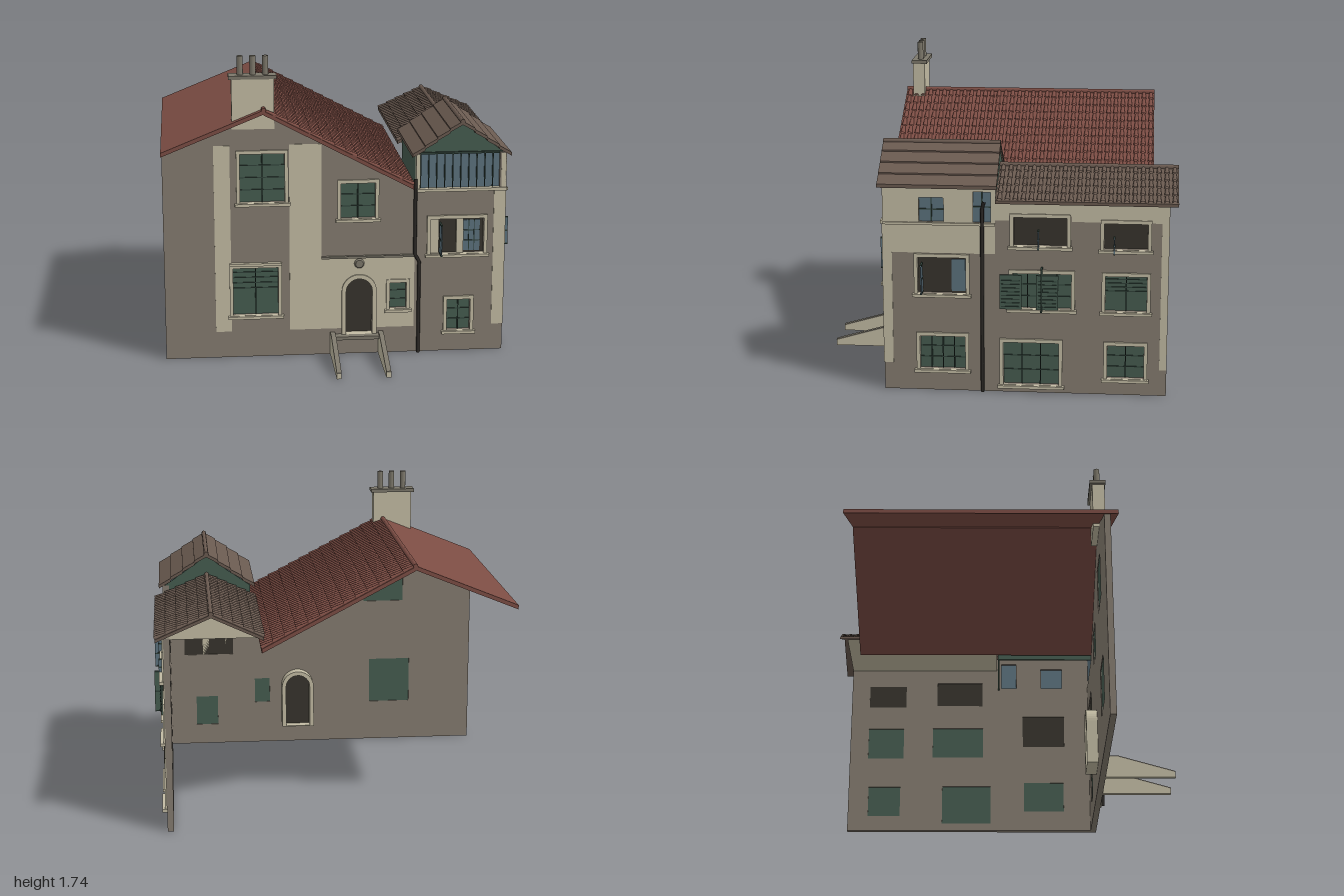
import * as THREE from 'three';
import { mergeGeometries } from 'three/addons/utils/BufferGeometryUtils.js';

const mat = (name, color, side = THREE.FrontSide) => {
  const m = new THREE.MeshStandardMaterial({ color, side });
  m.name = name;
  return m;
};

export function createModel() {
  const model = new THREE.Group();
  model.name = 'house';
  const M = {
    wall: mat('wallRender', 0x857c70),
    cream: mat('creamPlaster', 0xc3bca4),
    stone: mat('greyStone', 0x7d786b),
    green: mat('greenPaint', 0x465c50),
    darkGreen: mat('darkGreenBars', 0x2f4038),
    glass: mat('blueGlass', 0x5c727e),
    dark: mat('darkOpening', 0x37342d),
    pipe: mat('pipeBlack', 0x2b2825),
    red: mat('redTile', 0x7c4d44, THREE.DoubleSide),
    brown: mat('brownTile', 0x6a5a50, THREE.DoubleSide),
  };

  // ---- helpers ----
  const add = (parent, name, geo, m) => {
    const mesh = new THREE.Mesh(geo, m);
    mesh.name = name;
    parent.add(mesh);
    return mesh;
  };
  const box = (parent, name, m, x0, x1, y0, y1, z0, z1) => {
    const b = add(parent, name, new THREE.BoxGeometry(x1 - x0, y1 - y0, z1 - z0), m);
    b.position.set((x0 + x1) / 2, (y0 + y1) / 2, (z0 + z1) / 2);
  };
  const poly = (pts) => new THREE.Shape(pts.map(([x, y]) => new THREE.Vector2(x, y)));
  const rect = ([a, b, c, d]) => poly([[a, c], [b, c], [b, d], [a, d]]);
  const arch = (x0, x1, y0, top) => {
    const r = (x1 - x0) / 2, s = new THREE.Shape();
    s.moveTo(x0, y0);
    s.lineTo(x1, y0);
    s.lineTo(x1, top - r);
    s.absarc(x0 + r, top - r, r, 0, Math.PI, false);
    s.lineTo(x0, y0);
    return s;
  };
  const slab = (parent, name, m, shape, holes, z0, z1) => {
    shape.holes.push(...holes);
    const geo = new THREE.ExtrudeGeometry(shape, { depth: z1 - z0, bevelEnabled: false, curveSegments: 10 });
    return add(parent, name, geo.translate(0, 0, z0), m);
  };
  const patch = (parent, r, holes = []) => slab(parent, 'plasterPanel', M.cream, rect(r), holes, -0.001, 0.004);

  // pane with glazing bars, projecting surround and sill
  function windowUnit(parent, { r, m = M.green, cols = 2, rows = 3, louvre = false }) {
    const g = new THREE.Group();
    g.name = 'window';
    parent.add(g);
    const [a, b, c, d] = r, t = 0.02;
    box(g, 'pane', m, a, b, c, d, -0.03, -0.022);
    if (m !== M.dark) {
      for (let i = 1; i < cols; i++) {
        const x = a + ((b - a) * i) / cols;
        box(g, 'bar', M.darkGreen, x - 0.003, x + 0.003, c, d, -0.023, -0.014);
      }
      const n = louvre ? 9 : rows;
      for (let i = 1; i < n; i++) {
        const y = c + ((d - c) * i) / n;
        if (!louvre || i > 4) box(g, 'bar', M.darkGreen, a, b, y - 0.002, y + 0.002, -0.023, -0.016);
      }
    }
    slab(g, 'surround', M.cream, rect([a - t, b + t, c - 0.01, d + t]), [rect(r)], -0.01, 0.012);
    box(g, 'sill', M.cream, a - t - 0.01, b + t + 0.01, c - 0.018, c - 0.002, -0.005, 0.028);
  }
  // leaf standing open, square to the wall
  function openLeaf(parent, u, v0, v1, w, m) {
    const g = new THREE.Group();
    g.name = 'openLeaf';
    parent.add(g);
    box(g, 'leaf', m, u - 0.003, u + 0.003, v0, v1, 0, w);
    for (const y of [v0, (v0 + v1) / 2, v1]) box(g, 'leafBar', M.darkGreen, u - 0.005, u + 0.005, y - 0.004, y + 0.004, 0, w);
  }

  // ---- front wall ----
  const front = new THREE.Group();
  front.name = 'frontWall';
  front.position.z = 0.6;
  model.add(front);
  const frontWindows = [
    { r: [-0.565, -0.315, 0.91, 1.19], rows: 4 },
    { r: [-0.61, -0.355, 0.25, 0.53], louvre: true },
    { r: [0.0, 0.195, 0.805, 1.01] },
    { r: [0.28, 0.375, 0.265, 0.42], cols: 1 },
    { r: [0.51, 0.815, 0.585, 0.79], m: M.dark },
    { r: [0.61, 0.745, 0.125, 0.31] },
  ];
  slab(front, 'frontMasonry', M.wall,
    poly([[-0.995, 0], [0.933, 0], [0.933, 0.955], [0.42, 0.955], [0.42, 0.98], [-0.43, 1.42], [-0.995, 1.19]]),
    [...frontWindows.map((w) => rect(w.r)), arch(0.03, 0.18, 0.12, 0.45)], -0.035, 0);
  frontWindows.forEach((w) => windowUnit(front, w));
  box(front, 'lintel', M.cream, -0.63, -0.335, 0.545, 0.56, 0, 0.025);
  patch(front, [-0.71, -0.62, 0.155, 1.24]);
  patch(front, [-0.29, -0.11, 0.155, 1.24]);
  patch(front, [0.87, 0.933, 0.155, 0.955]);

  // plaster around the door
  const porch = new THREE.Shape();
  porch.moveTo(-0.11, 0.155);
  porch.lineTo(0.03, 0.155);
  porch.lineTo(0.03, 0.375);
  porch.absarc(0.105, 0.375, 0.075, Math.PI, 0, true);
  porch.lineTo(0.18, 0.155);
  porch.lineTo(0.42, 0.155);
  porch.lineTo(0.42, 0.58);
  porch.lineTo(-0.11, 0.58);
  slab(front, 'porchPlaster', M.cream, porch, [rect(frontWindows[3].r)], -0.001, 0.004);
  box(front, 'porchLedge', M.stone, -0.11, 0.415, 0.574, 0.586, 0, 0.02);

  // door, medallion and front casement
  slab(front, 'doorSurround', M.cream, arch(0.005, 0.205, 0.115, 0.475), [arch(0.03, 0.18, 0.12, 0.45)], -0.1, 0.014);
  slab(front, 'door', M.dark, arch(0.03, 0.18, 0.12, 0.45), [], -0.045, -0.035);
  const medal = add(front, 'medallion', new THREE.CylinderGeometry(0.022, 0.03, 0.016, 16).rotateX(Math.PI / 2), M.stone);
  medal.position.set(0.105, 0.54, 0.01);
  box(front, 'windowPost', M.cream, 0.66, 0.7, 0.585, 0.79, -0.03, -0.005);
  box(front, 'windowReveal', M.cream, 0.51, 0.56, 0.585, 0.79, -0.03, -0.01);
  box(front, 'casement', M.glass, 0.7, 0.795, 0.595, 0.775, -0.024, -0.016);
  for (const x of [0.732, 0.763]) box(front, 'bar', M.darkGreen, x - 0.002, x + 0.002, 0.595, 0.775, -0.02, -0.012);
  for (const y of [0.655, 0.715]) box(front, 'bar', M.darkGreen, 0.7, 0.795, y - 0.002, y + 0.002, -0.02, -0.012);
  openLeaf(front, 0.565, 0.59, 0.765, 0.07, M.glass);

  // entrance step with sloping side walls
  box(front, 'doorStep', M.stone, -0.035, 0.215, 0.1, 0.12, 0, 0.055);
  for (const x of [-0.06, 0.215]) {
    const side = [[0, 0], [0.4, 0], [0.4, 0.03], [0.07, 0.125], [0, 0.125]];
    const cap = [[0, 0.125], [0.07, 0.125], [0.4, 0.03], [0.4, 0.037], [0.07, 0.132], [0, 0.132]];
    for (const [name, pts, m] of [['stairWall', side, M.cream], ['stairCoping', cap, M.stone]]) {
      const s = slab(front, name, m, poly(pts), [], 0, 0.027);
      s.rotation.y = -Math.PI / 2;
      s.position.x = x + 0.027;
    }
  }

  // glazed tower front
  box(front, 'towerGlass', M.glass, 0.45, 0.91, 0.965, 1.17, -0.03, -0.022);
  for (let i = 0; i <= 10; i++) {
    const x = 0.452 + i * 0.0456;
    box(front, 'towerMullion', M.darkGreen, x - 0.003, x + 0.003, 0.965, 1.17, -0.024, -0.014);
  }
  box(front, 'towerSill', M.cream, 0.42, 0.94, 0.95, 0.967, -0.035, 0.012);
  for (const x of [0.425, 0.91]) box(front, 'towerPost', M.cream, x, x + 0.023, 0.967, 1.165, -0.035, 0);
  const gable = () => poly([[0.43, 1.165], [0.93, 1.165], [0.68, 1.34]]);
  slab(front, 'towerGable', M.green, gable(), [], -0.03, -0.02);
  box(front, 'gableRail', M.darkGreen, 0.445, 0.915, 1.163, 1.175, -0.025, -0.01);

  // tower back and inner side
  slab(model, 'towerBackGable', M.green, gable(), [], -0.015, -0.005);
  box(model, 'towerBack', M.green, 0.43, 0.93, 0.95, 1.165, -0.015, -0.005);
  box(model, 'towerInnerSide', M.green, 0.425, 0.435, 0.955, 1.165, -0.01, 0.57);

  // ---- right wall (local x runs towards the back) ----
  const right = new THREE.Group();
  right.name = 'rightWall';
  right.rotation.y = Math.PI / 2;
  right.position.x = 0.935;
  model.add(right);
  const rightWindows = [
    { r: [-0.4, -0.15, 0.125, 0.315], cols: 4 },
    { r: [-0.41, -0.145, 0.56, 0.765], m: M.dark },
    { r: [0.06, 0.365, 0.045, 0.29], cols: 3 },
    { r: [0.63, 0.83, 0.095, 0.285] },
    { r: [0.11, 0.43, 0.485, 0.685], cols: 4 },
    { r: [0.615, 0.84, 0.48, 0.68], louvre: true },
    { r: [0.115, 0.405, 0.84, 1.0], m: M.dark },
    { r: [0.605, 0.84, 0.83, 0.975], m: M.dark },
  ];
  const lights = [[-0.4, -0.265, 0.965, 1.1], [-0.105, -0.01, 0.965, 1.135]];
  slab(right, 'rightMasonry', M.wall,
    poly([[-0.599, 0], [0.955, 0], [0.955, 1.095], [0.02, 1.095], [0.02, 1.17], [-0.599, 1.17]]),
    [...rightWindows.map((w) => w.r), ...lights].map(rect), -0.035, 0);
  rightWindows.forEach((w) => windowUnit(right, w));
  patch(right, [-0.599, 0.015, 0.79, 1.165], lights.map(rect));
  patch(right, [-0.599, -0.55, 0.155, 0.79]);
  patch(right, [0.915, 0.955, 0.15, 1.09]);
  patch(right, [0.015, 0.09, 0.98, 1.09]);
  patch(right, [0.09, 0.43, 1.01, 1.09]);
  patch(right, [0.43, 0.915, 0.98, 1.09]);
  box(right, 'towerLedge', M.cream, -0.6, 0.015, 0.948, 0.962, 0, 0.014);
  for (const [a, b, c, d] of lights) {
    box(right, 'towerLight', M.glass, a, b, c, d, -0.02, -0.012);
    box(right, 'bar', M.darkGreen, (a + b) / 2 - 0.003, (a + b) / 2 + 0.003, c, d, -0.014, -0.006);
    box(right, 'bar', M.darkGreen, a, b, (c + d) / 2 - 0.003, (c + d) / 2 + 0.003, -0.014, -0.006);
  }
  box(right, 'casement', M.glass, -0.225, -0.15, 0.57, 0.75, -0.022, -0.015);
  openLeaf(right, -0.385, 0.57, 0.73, 0.062, M.glass);
  openLeaf(right, 0.25, 0.83, 0.93, 0.035, M.glass);
  openLeaf(right, 0.66, 0.81, 0.9, 0.03, M.glass);
  // louvred shutters, folded back and standing open
  for (const u of [0.04, 0.24]) {
    box(right, 'shutter', M.green, u, u + 0.12, 0.485, 0.68, 0.014, 0.024);
    for (let i = 0; i < 8; i++) box(right, 'shutterSlat', M.darkGreen, u + 0.01, u + 0.11, 0.5 + i * 0.021, 0.504 + i * 0.021, 0.022, 0.03);
  }
  openLeaf(right, 0.27, 0.485, 0.72, 0.06, M.green);

  // ---- roofs ----
  const roofSlope = (name, m, x0, y0, x1, y1, z0, z1, t) =>
    slab(model, name, m, poly([[x0, y0], [x1, y1], [x1, y1 - t], [x0, y0 - t]]), [], z0, z1);
  // overlapping half-round tiles running down from the ridge
  function tiles(name, m, x0, y0, x1, y1, z0, z1, courses) {
    const len = Math.hypot(x1 - x0, y1 - y0), step = len / courses;
    const n = Math.round((z1 - z0) / 0.042), pitch = (z1 - z0) / n;
    const parts = [];
    for (let i = 0; i < n; i++) {
      for (let j = 0; j < courses; j++) {
        const g = new THREE.CylinderGeometry(0.009, 0.016, step, 5, 1, true, 0, Math.PI).rotateZ(Math.PI / 2);
        parts.push(g.translate((j + 0.5) * step, 0, (i + 0.5) * pitch - (z1 - z0) / 2));
      }
    }
    const mesh = add(model, name, mergeGeometries(parts), m);
    mesh.position.set(x0, y0, (z0 + z1) / 2);
    mesh.rotation.set(0, x1 < x0 ? Math.PI : 0, -Math.atan2(y0 - y1, Math.abs(x1 - x0)));
  }
  const ridge = (name, m, x, y, z0, z1) => {
    const r = add(model, name, new THREE.CylinderGeometry(0.014, 0.014, z1 - z0, 8).rotateX(Math.PI / 2), m);
    r.position.set(x, y, (z0 + z1) / 2);
  };
  roofSlope('mainRoofLeft', M.red, -0.43, 1.445, -1, 1.215, -0.87, 0.645, 0.024);
  roofSlope('mainRoofRight', M.red, -0.43, 1.44, 0.405, 1.0, -0.87, 0.645, 0.024);
  tiles('mainRoofTiles', M.red, -0.43, 1.44, 0.405, 1.0, -0.87, 0.645, 13);
  ridge('mainRidge', M.red, -0.43, 1.443, -0.87, 0.645);

  for (const s of [-1, 1]) {
    const wingX = s < 0 ? 0.4 : 0.98;
    roofSlope('wingRoof', M.brown, 0.68, 1.23, wingX, 1.1, -1, -0.02, 0.018);
    tiles('wingRoofTiles', M.brown, 0.68, 1.23, wingX, 1.1, -1, -0.02, 5);
    // tower roof in four lapped courses
    for (let i = 0; i < 4; i++) {
      const x = (k) => 0.68 + s * 0.28 * k, y = (k) => 1.36 - 0.19 * k;
      roofSlope('towerRoofCourse', M.brown, x(i / 4), y(i / 4) - 0.004, x((i + 1) / 4), y((i + 1) / 4) + 0.004, -0.025, 0.625, 0.02);
    }
  }
  ridge('wingRidge', M.brown, 0.68, 1.232, -1, -0.02);
  ridge('towerRidge', M.brown, 0.68, 1.354, -0.025, 0.625);
  slab(model, 'wingGable', M.cream, poly([[0.42, 1.088], [0.96, 1.088], [0.68, 1.212]]), [], -0.955, -0.02);

  // ---- chimney ----
  box(model, 'chimneyStack', M.cream, -0.605, -0.37, 1.33, 1.612, 0.53, 0.601);
  box(model, 'chimneyCap', M.stone, -0.62, -0.355, 1.61, 1.63, 0.515, 0.607);
  for (const x of [-0.555, -0.485, -0.415]) {
    add(model, 'chimneyPot', new THREE.CylinderGeometry(0.017, 0.017, 0.11, 12), M.stone).position.set(x, 1.68, 0.56);
  }

  // ---- drainpipes ----
  const pipe = (name, pts) => {
    const path = new THREE.CurvePath();
    const v = pts.map((p) => new THREE.Vector3(...p));
    for (let i = 1; i < v.length; i++) path.add(new THREE.LineCurve3(v[i - 1], v[i]));
    add(model, name, new THREE.TubeGeometry(path, 40, 0.01, 8), M.pipe);
  };
  pipe('frontDrainpipe', [[0.42, 1.03, 0.615], [0.42, 0.585, 0.615], [0.445, 0.55, 0.615], [0.445, 0, 0.615]]);
  pipe('sideDrainpipe', [[0.96, 1.09, 0.04], [0.945, 1.05, 0.055], [0.945, 0, 0.055]]);

  return model;
}
